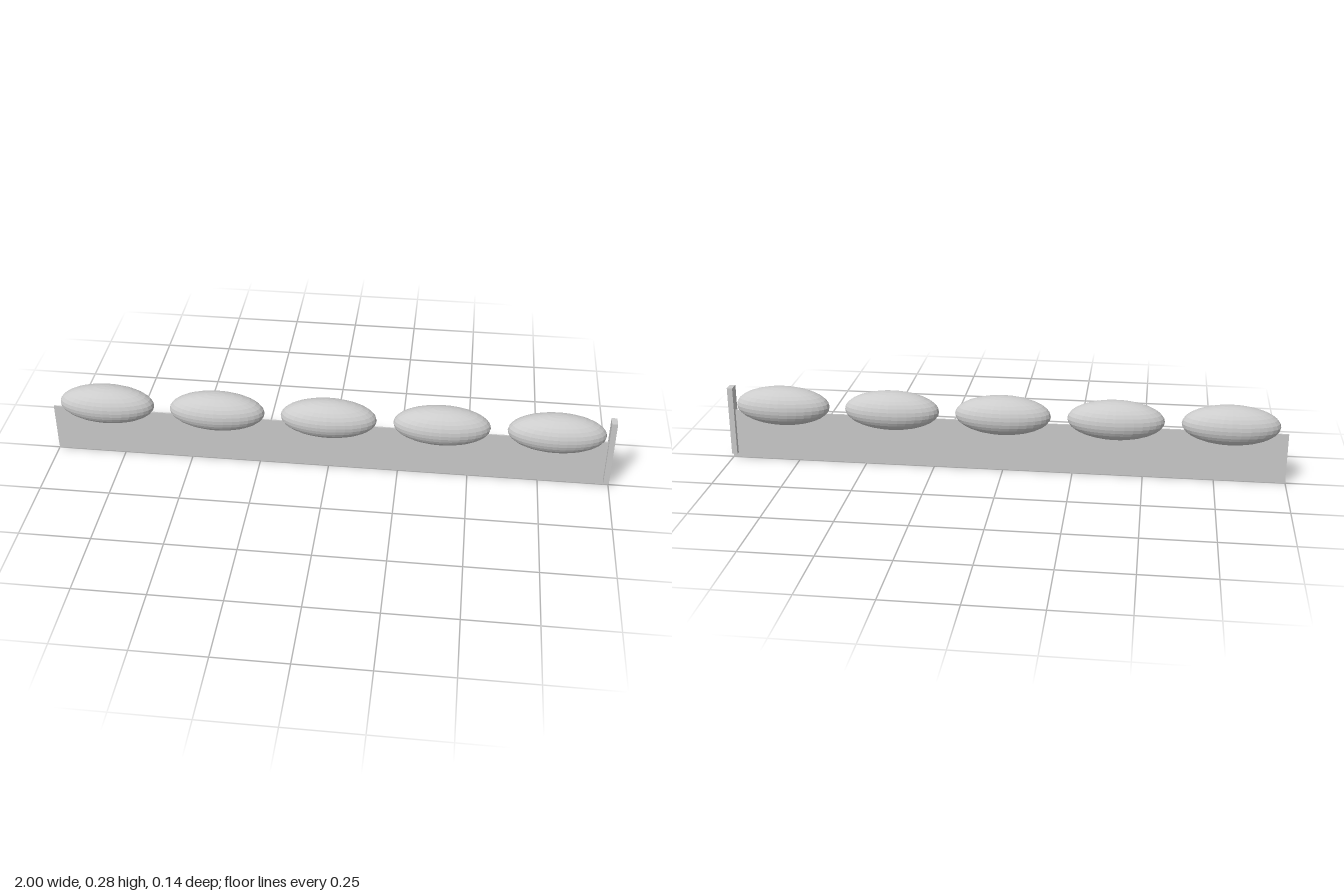
import * as THREE from 'three';

export function createModel() {
  const group = new THREE.Group();
  const grey = new THREE.MeshStandardMaterial({ color: 0xcccccc, flatShading: true });
  grey.name = 'light grey';

  const add = (name, geometry, x, y, z = 0) => {
    const mesh = new THREE.Mesh(geometry, grey);
    mesh.name = name;
    mesh.position.set(x, y, z);
    group.add(mesh);
    return mesh;
  };

  // Thin upright panel with a very fine edge along its foot
  add('panel', new THREE.BoxGeometry(2, 0.175, 0.005), 0, 0.0975);
  add('bottomEdge', new THREE.BoxGeometry(2, 0.01, 0.001), 0, 0.005);

  // Flat post closing the left end
  add('endPost', new THREE.BoxGeometry(0.02, 0.255, 0.038), 0.99, 0.146);

  // Row of five ellipsoids seated on the top edge
  const ellipsoid = new THREE.SphereGeometry(1, 32, 16).scale(0.171, 0.071, 0.071);
  for (let i = -2; i <= 2; i++) add('ellipsoid', ellipsoid, i * 0.4, 0.21);

  return group;
}
